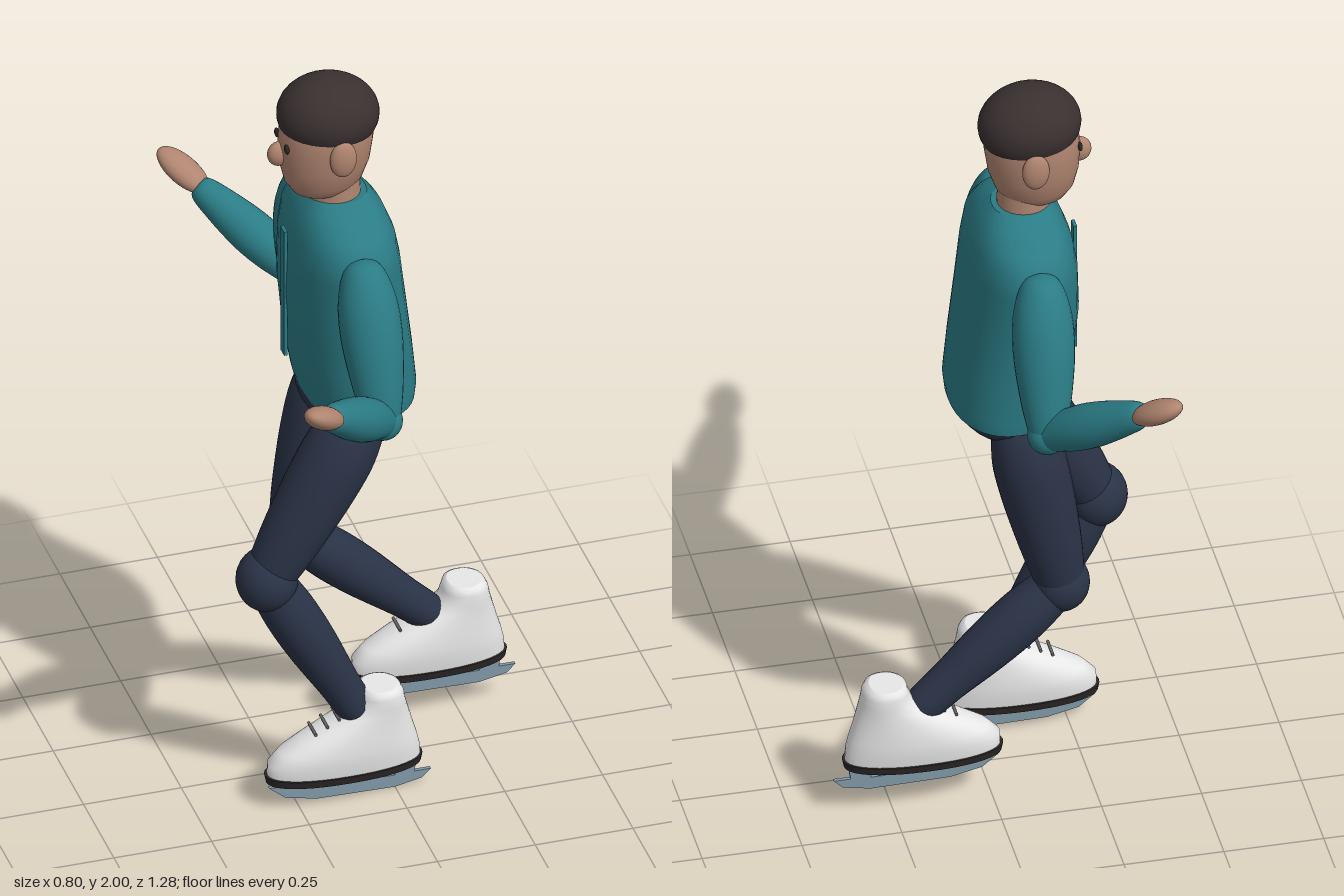
import * as THREE from 'three';

const mat = (name, color, side = THREE.FrontSide) => {
  const m = new THREE.MeshStandardMaterial({ color, side });
  m.name = name;
  return m;
};

export function createModel() {
  const skin = mat('skin', 0xb08570);
  const hair = mat('hair', 0x3a3030, THREE.DoubleSide);
  const teal = mat('teal sweater', 0x2b7c86);
  const navy = mat('navy trousers', 0x2a3347);
  const white = mat('white leather', 0xe9e9e9);
  const black = mat('dark sole', 0x2c2726);
  const steel = mat('blade steel', 0x8099a8);
  const lace = mat('lace grey', 0x666666);

  const model = new THREE.Group();
  model.name = 'skater';
  const V = (x, y, z) => new THREE.Vector3(x, y, z);

  const add = (name, geo, material, parent = model) => {
    const m = new THREE.Mesh(geo, material);
    m.name = name;
    parent.add(m);
    return m;
  };

  // Ellipsoid with radii r at centre c
  const ball = (name, c, r, material) => {
    const m = add(name, new THREE.SphereGeometry(1, 28, 20), material);
    m.position.copy(c);
    m.scale.set(...r);
    return m;
  };

  // Closed skin over horizontal sections [y, xMin, xMax, halfDepth]
  const loft = (sections, power = 1, n = 40) => {
    const first = sections[0], last = sections.at(-1);
    const point = s => [s[0], (s[1] + s[2]) / 2, (s[1] + s[2]) / 2, 0];
    const rings = [point(first), first, ...sections, last, point(last)];
    const pos = [], idx = [];
    const soft = v => Math.sign(v) * Math.abs(v) ** power;
    rings.forEach(([y, x0, x1, w]) => {
      for (let j = 0; j < n; j++) {
        const t = (j / n) * Math.PI * 2;
        pos.push((x0 + x1) / 2 + ((x1 - x0) / 2) * soft(Math.cos(t)), y, w * soft(Math.sin(t)));
      }
    });
    for (let i = 0; i < rings.length - 1; i++) {
      for (let j = 0; j < n; j++) {
        const a = i * n + j, c = i * n + ((j + 1) % n);
        idx.push(a, a + n, c, c, a + n, c + n);
      }
    }
    const g = new THREE.BufferGeometry();
    g.setAttribute('position', new THREE.Float32BufferAttribute(pos, 3));
    g.setIndex(idx);
    g.computeVertexNormals();
    return g;
  };

  // Rounded limb from a to b; profile holds [fraction along, radius]
  const limb = (name, a, b, profile, material) => {
    const d = b.clone().sub(a), len = d.length();
    const key = profile.map(([t, r]) => new THREE.Vector2(r, t * len));
    const pts = new THREE.SplineCurve(key).getPoints(24);
    pts.forEach(p => { p.x = Math.max(p.x, 0); });
    const m = add(name, new THREE.LatheGeometry(pts, 28), material);
    m.position.copy(a);
    m.quaternion.setFromUnitVectors(V(0, 1, 0), d.normalize());
    return m;
  };

  // Torso, front placket and hips
  add('sweater', loft([
    [1.105, -0.195, 0.08, 0.195], [1.14, -0.205, 0.084, 0.2], [1.25, -0.225, 0.073, 0.205],
    [1.4, -0.238, 0.054, 0.215], [1.52, -0.233, 0.038, 0.228], [1.58, -0.222, 0.026, 0.225],
    [1.62, -0.207, 0.01, 0.185], [1.65, -0.19, -0.01, 0.13], [1.672, -0.17, -0.03, 0.07],
  ], 0.88), teal);
  const placket = add('placket', new THREE.BoxGeometry(0.009, 0.36, 0.03), teal);
  placket.position.set(-0.237, 1.4, 0);
  ball('hips', V(-0.065, 1.11, 0), [0.135, 0.1, 0.185], navy);

  // Neck and head, facing -x
  const neck = add('neck', new THREE.CylinderGeometry(0.063, 0.068, 0.12, 28), skin);
  neck.position.set(-0.11, 1.68, 0);
  add('head', loft([
    [1.675, -0.18, -0.09, 0.035], [1.69, -0.215, -0.065, 0.06], [1.72, -0.235, -0.04, 0.08],
    [1.77, -0.247, -0.022, 0.095], [1.83, -0.25, -0.013, 0.102], [1.89, -0.245, -0.012, 0.102],
    [1.94, -0.22, -0.035, 0.08], [1.965, -0.17, -0.08, 0.04],
  ]), skin);
  const cap = add('hair', new THREE.SphereGeometry(1, 32, 20, 0, Math.PI * 2, 0, Math.PI * 0.62), hair);
  cap.position.set(-0.125, 1.9, 0);
  cap.scale.set(0.128, 0.1, 0.112);
  cap.rotation.z = -0.08;
  ball('nose', V(-0.25, 1.803, 0), [0.03, 0.033, 0.022], skin);

  for (const s of [1, -1]) {
    ball('ear', V(-0.118, 1.825, s * 0.105), [0.034, 0.05, 0.018], skin);
    ball('eye', V(-0.243, 1.838, s * 0.04), [0.006, 0.012, 0.012], black);

    // Arm
    const elbow = V(-0.093, 1.21, s * 0.347), wrist = V(-0.285, 1.375, s * 0.54);
    limb('upperArm', V(-0.105, 1.6, s * 0.215), elbow,
      [[0, 0], [0.05, 0.045], [0.25, 0.072], [0.5, 0.076], [0.8, 0.062], [1, 0.045]], teal);
    ball('elbow', elbow, [0.05, 0.05, 0.05], teal);
    limb('forearm', elbow, wrist,
      [[0, 0.042], [0.25, 0.054], [0.5, 0.056], [0.8, 0.045], [1, 0.03], [1.01, 0]], teal);
    const hand = ball('hand', V(-0.315, 1.405, s * 0.58), [0.042, 0.08, 0.03], skin);
    const along = wrist.clone().sub(elbow).normalize();
    const across = V(along.z, 0, -along.x).normalize();
    hand.quaternion.setFromRotationMatrix(
      new THREE.Matrix4().makeBasis(across, along, across.clone().cross(along)));
  }

  // Legs: hip, knee, ankle and knee radius
  const thighProfile = [[-0.1, 0], [-0.04, 0.06], [0.15, 0.088], [0.4, 0.09], [0.75, 0.077], [1, 0.06]];
  const shinProfile = [[0, 0.055], [0.25, 0.066], [0.5, 0.064], [0.8, 0.052], [1.05, 0.042], [1.08, 0]];
  const legs = [
    [V(-0.085, 1.08, 0.125), V(-0.323, 0.66, 0.135), V(-0.1, 0.25, 0.143), 0.077],
    [V(-0.075, 1.08, -0.125), V(-0.175, 0.605, -0.13), V(0.17, 0.3, -0.14), 0.071],
  ];
  for (const [hip, knee, ankle, r] of legs) {
    limb('thigh', hip, knee, thighProfile, navy);
    ball('knee', knee, [r, r * 1.08, r], navy);
    limb('shin', knee, ankle, shinProfile, navy);
  }

  // Ice skates, toes toward -x
  const boot = loft([
    [0.093, -0.325, 0.064, 0.066], [0.125, -0.324, 0.062, 0.071], [0.155, -0.295, 0.055, 0.071],
    [0.185, -0.243, 0.046, 0.068], [0.215, -0.185, 0.038, 0.064], [0.24, -0.135, 0.031, 0.061],
    [0.262, -0.104, 0.025, 0.06], [0.288, -0.094, 0.02, 0.06], [0.302, -0.09, 0.013, 0.056],
    [0.308, -0.08, 0.002, 0.046],
  ], 0.9);
  const sole = loft([[0.073, -0.328, 0.066, 0.066], [0.094, -0.332, 0.07, 0.071]], 0.9);
  const outline = [
    [-0.322, 0.057], [-0.28, 0.022], [-0.2, 0.004], [0, 0], [0.07, 0.014], [0.092, 0.036],
    [0.05, 0.036], [0.056, 0.078], [-0.008, 0.078], [0, 0.034], [-0.125, 0.034],
    [-0.118, 0.078], [-0.19, 0.078], [-0.185, 0.046],
  ].map(p => new THREE.Vector2(...p));
  const blade = new THREE.ExtrudeGeometry(new THREE.Shape(outline), { depth: 0.01, bevelEnabled: false });
  blade.translate(0, 0, -0.005);
  for (const [x, y, z] of [[0, 0, 0.145], [0.305, 0.068, -0.141]]) {
    const skate = new THREE.Group();
    skate.name = 'skate';
    skate.position.set(x, y, z);
    model.add(skate);
    add('boot', boot, white, skate);
    add('sole', sole, black, skate);
    add('blade', blade, steel, skate);
    for (let i = 0; i < 4; i++) {
      const l = add('lace', new THREE.CylinderGeometry(0.004, 0.004, 0.06, 8), lace, skate);
      l.rotation.x = Math.PI / 2;
      l.position.set(-0.21 + i * 0.03, 0.206 + i * 0.0165, 0);
    }
  }
  return model;
}
